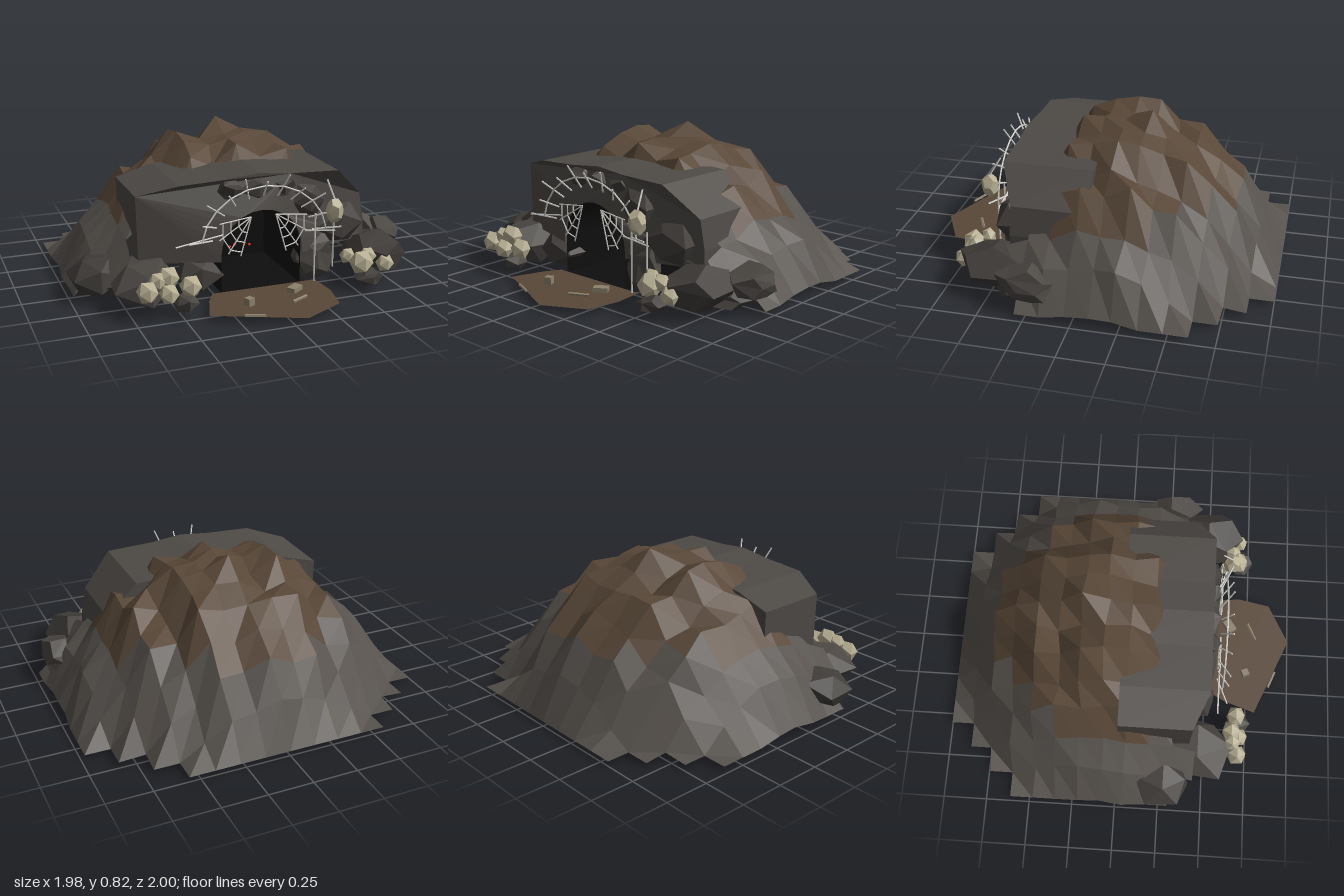
import * as THREE from 'three';

const mat = (color, side = THREE.FrontSide) =>
  new THREE.MeshStandardMaterial({ color, flatShading: true, side });
const ROCK = mat(0x4a4642), DARK = mat(0x403c39), FACADE = mat(0x4e4a46);
const MOUND = mat(0x57524d, THREE.DoubleSide), EARTH = mat(0x594838, THREE.DoubleSide);
const BLACK = mat(0x0e0e0e, THREE.DoubleSide), INSIDE = mat(0x0e0e0e, THREE.BackSide);
const EGG = mat(0xb8b094), SILK = mat(0xd4d2cc), BONE = mat(0x8c826c), EYE = mat(0xff2a14);

// repeatable value in 0..1 for a position
const hash = (a, b = 0, c = 0) => {
  const s = Math.sin(a * 127.1 + b * 311.7 + c * 74.7) * 43758.5453;
  return s - Math.floor(s);
};
const V = (x, y, z) => new THREE.Vector3(x, y, z);
const shapePoints = (list) => list.map(([x, y]) => new THREE.Vector2(x, y));

export function createModel() {
  const model = new THREE.Group();
  const add = (name, geo, material, parent = model) => {
    const m = new THREE.Mesh(geo, material);
    m.name = name;
    parent.add(m);
    return m;
  };
  const group = (name) => {
    const g = new THREE.Group();
    g.name = name;
    model.add(g);
    return g;
  };

  // faceted lump with its corners pushed in or out
  const lump = (name, parent, material, [x, y, z], [rx, ry, rz], rough, seed, geo) => {
    const p = geo.attributes.position;
    for (let i = 0; i < p.count; i++) {
      const k = 1 + rough * (hash(Math.round(p.getX(i) * 50) + seed, Math.round(p.getY(i) * 50), Math.round(p.getZ(i) * 50)) - 0.5);
      p.setXYZ(i, p.getX(i) * k * rx, p.getY(i) * k * ry, p.getZ(i) * k * rz);
    }
    geo.computeVertexNormals();
    add(name, geo, material, parent).position.set(x, y, z);
  };

  // thin rod between two points
  const rod = (name, parent, a, b, r = 0.005, material = SILK) => {
    const d = b.clone().sub(a);
    const m = add(name, new THREE.CylinderGeometry(r, r, d.length(), 5), material, parent);
    m.position.copy(a).add(b).multiplyScalar(0.5);
    m.quaternion.setFromUnitVectors(V(0, 1, 0), d.normalize());
  };

  // mound: a grid of hills cut to a round outline, fuller and open at the front
  const reach = (x, z, front = 0.87) => Math.hypot(x, (z + 0.13) / (z > -0.13 ? front : 0.87));
  const corner = (i, j) => {
    const x = -0.98 + i * 0.14, z = -1 + j * 0.13, d = reach(x, z, 1.25);
    if (d >= 1) return V(x, 0.02, z);
    const bump = (0.1 * (hash(i, j) - 0.5) + (i % 2 ? 0.025 : -0.035)) * Math.min(1, (1 - d) * 2.5);
    const sink = j > 9 && Math.abs(x) < 0.6 ? 0.78 : 1;
    return V(x + 0.03 * (hash(i, j, 3) - 0.5), Math.max(0.02, 0.02 + (0.73 * (1 - d ** 2.15) + bump) * sink),
      z + 0.03 * (hash(i, j, 5) - 0.5));
  };
  const slopes = [], summit = [];
  for (let j = 0; j < 11; j++) for (let i = 0; i < 14; i++) {
    const cx = -0.91 + i * 0.14, cz = -0.935 + j * 0.13;
    if (reach(cx, cz) > 1.05 || (Math.abs(cx) < 0.66 && cz > 0.25)) continue;
    const [a, b, c, d] = [corner(i, j), corner(i + 1, j), corner(i, j + 1), corner(i + 1, j + 1)];
    const list = (a.y + b.y + c.y + d.y) / 4 > 0.42 ? summit : slopes;
    for (const v of [a, c, b, b, c, d]) list.push(v);
  }
  const facets = (pts) => {
    const geo = new THREE.BufferGeometry().setFromPoints(pts);
    geo.computeVertexNormals();
    return geo;
  };
  add('moundSlopes', facets(slopes), MOUND);
  add('moundSummit', facets(summit), EARTH);

  // rock front resting on the boulders, arched over the tunnel, its outer edges set back
  const outline = new THREE.Shape(shapePoints([[0.232, 0.2], [0.67, 0.2], [0.67, 0.3], [0.64, 0.46], [0.46, 0.63],
    [0.18, 0.64], [0, 0.66], [-0.2, 0.64], [-0.45, 0.63], [-0.66, 0.57], [-0.65, 0.2], [-0.232, 0.2], [-0.232, 0.235]]));
  outline.absarc(0, 0.235, 0.232, Math.PI, 0, true);
  const front = new THREE.ExtrudeGeometry(outline, { depth: 0.54, bevelEnabled: false, curveSegments: 6 });
  const fp = front.attributes.position;
  for (let i = 0; i < fp.count; i++) {
    if (fp.getZ(i) < 0.1) continue;
    const x = Math.abs(fp.getX(i)), y = fp.getY(i);
    fp.setZ(i, x > 0.6 ? 0.41 : y > 0.6 ? 0.5 : 0.54);
  }
  front.computeVertexNormals();
  add('rockFront', front, FACADE);

  // dark tunnel with watching eyes
  const hollow = new THREE.Shape();
  hollow.moveTo(-0.228, 0.02);
  hollow.lineTo(0.228, 0.02);
  hollow.absarc(0, 0.235, 0.228, 0, Math.PI, false);
  const lining = new THREE.ExtrudeGeometry(hollow, { depth: 0.52, bevelEnabled: false });
  add('tunnelLining', lining, [INSIDE, BLACK]).position.z = 0.01;
  add('tunnelBack', new THREE.ShapeGeometry(hollow), BLACK).position.z = -0.004;
  for (const x of [-0.06, -0.03, 0.03, 0.06])
    add('eye', new THREE.SphereGeometry(0.009, 6, 4), EYE).position.set(x, Math.abs(x) > 0.05 ? 0.152 : 0.164, 0.2);

  // earth patch before the entrance
  const patch = new THREE.Shape(shapePoints([[-0.28, -0.53], [-0.33, -0.62], [-0.39, -0.8], [0.07, -1], [0.3, -0.88],
    [0.335, -0.7], [0.32, -0.53]]));
  add('entranceGround', new THREE.ShapeGeometry(patch).rotateX(-Math.PI / 2), EARTH).position.y = 0.025;

  // boulders at the sides and around the arch
  const boulders = group('boulders');
  [[[-0.64, 0.12, 0.46], [0.18, 0.13, 0.21]], [[0.67, 0.13, 0.48], [0.18, 0.13, 0.22]],
    [[-0.85, 0.12, 0.27], [0.15, 0.11, 0.16]], [[0.87, 0.13, 0.24], [0.11, 0.11, 0.18]],
    [[-0.8, 0.06, 0.3], [0.14, 0.05, 0.12]], [[0.76, 0.06, 0.33], [0.15, 0.06, 0.14]],
    [[-0.48, 0.07, 0.69], [0.07, 0.05, 0.08]], [[0.56, 0.07, 0.69], [0.07, 0.05, 0.08]],
    [[-0.34, 0.12, 0.47], [0.13, 0.11, 0.09]], [[0.33, 0.15, 0.48], [0.11, 0.14, 0.08]],
    [[0.48, 0.32, 0.45], [0.15, 0.13, 0.09]],
    [[-0.16, 0.57, 0.46], [0.08, 0.07, 0.09]], [[-0.01, 0.57, 0.44], [0.09, 0.08, 0.11]],
    [[0.13, 0.56, 0.46], [0.08, 0.07, 0.09]], [[0.28, 0.48, 0.49], [0.1, 0.09, 0.06]]]
    .forEach(([at, size], i) => lump('boulder', boulders, i % 3 ? DARK : ROCK, at, size, 0.4, i + 1,
      i % 2 ? new THREE.DodecahedronGeometry(1) : new THREE.IcosahedronGeometry(1.05)));

  // pale egg clusters and one hanging cocoon
  const eggs = group('eggs');
  [[-0.68, 0.15, 0.69, 0.06], [-0.56, 0.2, 0.65, 0.06], [-0.45, 0.15, 0.68, 0.06], [-0.57, 0.13, 0.7, 0.055], [-0.62, 0.19, 0.66, 0.05],
    [0.48, 0.17, 0.6, 0.045], [0.53, 0.15, 0.67, 0.065], [0.58, 0.17, 0.64, 0.05], [0.67, 0.13, 0.68, 0.05]]
    .forEach(([x, y, z, r], i) => lump('egg', eggs, EGG, [x, y, z], [r, r * 1.05, r], 0.12, i, new THREE.IcosahedronGeometry(1)));
  lump('cocoon', eggs, EGG, [0.39, 0.44, 0.61], [0.05, 0.07, 0.052], 0.1, 4, new THREE.DodecahedronGeometry(1));

  // silk arch with spokes leaning forward
  const web = group('web');
  const ringPoint = (a, r, z) => V(Math.cos(a) * r * 1.15, 0.3 + Math.sin(a) * r, z);
  const n = 10;
  for (let i = 0; i <= n; i++) {
    const a = 0.12 + (i / n) * (Math.PI - 0.24), b = a + (Math.PI - 0.24) / n;
    rod('spoke', web, ringPoint(a, 0.25, 0.55), ringPoint(a, i % 2 ? 0.34 : 0.38, 0.61));
    if (i < n) rod('ringThread', web, ringPoint(a, 0.31, 0.58), ringPoint(b, 0.31, 0.58));
  }
  // small fans in both shoulders of the arch
  for (const s of [-1, 1]) {
    const hub = V(s * 0.07, 0.44, 0.555);
    const tips = [[0.25, 0.42], [0.25, 0.33], [0.2, 0.25], [0.13, 0.23]].map(([x, y]) => V(s * x, y, 0.56));
    tips.forEach((tip, i) => {
      rod('fanRay', web, hub, tip, 0.004);
      if (i) for (const k of [0.4, 0.65, 0.9])
        rod('fanThread', web, hub.clone().lerp(tips[i - 1], k), hub.clone().lerp(tip, k), 0.004);
    });
  }
  // hanging threads
  [[0.3, 0.42, 0.3, 0.03], [0.41, 0.38, 0.41, 0.1], [0.24, 0.33, 0.42, 0.31], [-0.49, 0.32, -0.23, 0.36]]
    .forEach(([x1, y1, x2, y2]) => rod('looseThread', web, V(x1, y1, 0.56), V(x2, y2, 0.56)));
  rod('cocoonThread', web, V(0.39, 0.5, 0.61), V(0.37, 0.6, 0.55));

  // scattered remains on the ground
  const remains = group('remains');
  [[0.15, 0.64, 0.08, 0.025, 0.05, 0.6], [-0.15, 0.74, 0.04, 0.04, 0.04, 0.4]].forEach(([x, z, w, h, d, turn]) => {
    const m = add('fragment', new THREE.BoxGeometry(w, h, d), BONE, remains);
    m.position.set(x, 0.025 + h / 2, z);
    m.rotation.y = turn;
  });
  rod('stick', remains, V(0.07, 0.035, 0.8), V(0.17, 0.035, 0.75), 0.009, BONE);
  rod('stick', remains, V(-0.23, 0.035, 0.88), V(-0.13, 0.035, 0.92), 0.008, BONE);
  return model;
}
